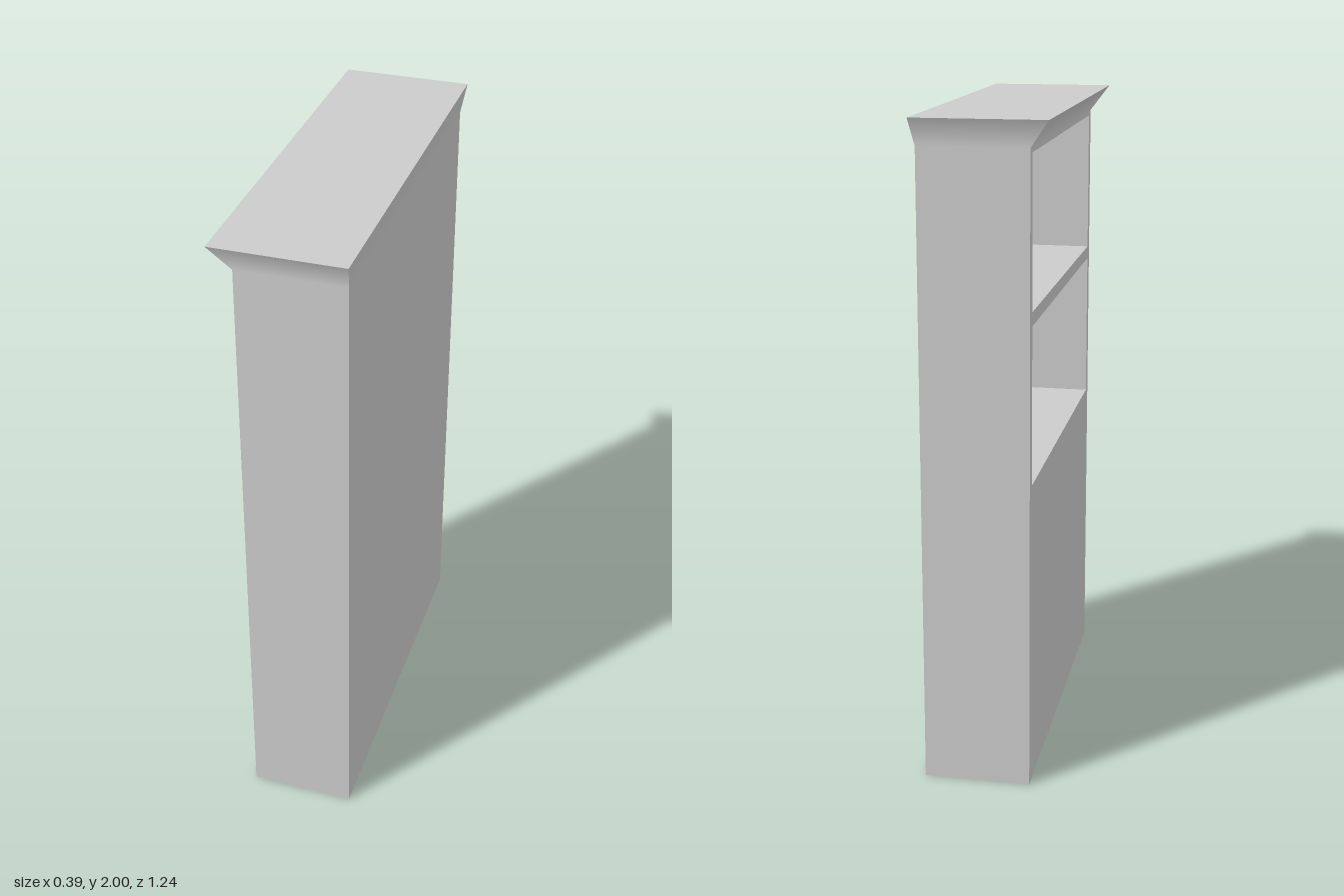
import * as THREE from 'three';

const BACK = 0.185, FRONT = -0.138, HALF = 0.58; // body extents: x, x, z
const BODY_TOP = 1.92, TOP = 2, PANEL = 0.033;

const material = new THREE.MeshStandardMaterial({ color: 0xcccccc });

function part(name, geometry) {
  const mesh = new THREE.Mesh(geometry, material);
  mesh.name = name;
  return mesh;
}

function trace(path, z0, y0, z1, y1) {
  path.moveTo(z0, y0);
  path.lineTo(z1, y0);
  path.lineTo(z1, y1);
  path.lineTo(z0, y1);
  path.closePath();
  return path;
}

// Case with two open compartments, opening towards -x
function caseGeometry() {
  const shape = trace(new THREE.Shape(), -HALF, 0, HALF, BODY_TOP);
  for (const [low, high] of [[0.945, 1.417], [1.458, 1.905]]) {
    shape.holes.push(trace(new THREE.Path(), -0.544, low, 0.544, high));
  }
  const depth = BACK - PANEL - FRONT;
  return new THREE.ExtrudeGeometry(shape, { depth, bevelEnabled: false })
    .rotateY(-Math.PI / 2)
    .translate(BACK - PANEL, 0, 0);
}

// Flared crown: sloped walls between two rectangles, shaded softly into the case
function crownGeometry() {
  const ring = (x0, x1, z, y) => [[x0, y, z], [x1, y, z], [x1, y, -z], [x0, y, -z]];
  const low = ring(FRONT, BACK, HALF, BODY_TOP);
  const high = ring(-0.196, 0.196, 0.62, TOP);
  const out = [[0, 0, 1], [1, 0, 0], [0, 0, -1], [-1, 0, 0]];
  const flare = [0.04, 0.011, 0.04, 0.058];
  const positions = [], normals = [], indices = [];

  const quad = (corners, cornerNormals) => {
    const i = positions.length / 3;
    positions.push(...corners.flat());
    normals.push(...cornerNormals.flat());
    indices.push(i, i + 1, i + 2, i, i + 2, i + 3);
  };

  for (let i = 0; i < 4; i++) {
    const j = (i + 1) % 4;
    const n = out[i];
    const tilted = new THREE.Vector3(...n).multiplyScalar(TOP - BODY_TOP)
      .setY(-flare[i]).normalize().toArray();
    quad([low[i], low[j], high[j], high[i]], [n, n, tilted, tilted]);
  }
  const up = [0, 1, 0];
  quad(high, [up, up, up, up]);

  const geometry = new THREE.BufferGeometry();
  geometry.setAttribute('position', new THREE.Float32BufferAttribute(positions, 3));
  geometry.setAttribute('normal', new THREE.Float32BufferAttribute(normals, 3));
  geometry.setIndex(indices);
  return geometry;
}

export function createModel() {
  const group = new THREE.Group();
  group.name = 'bookcase';
  group.add(part('case', caseGeometry()));
  group.add(part('backPanel', new THREE.BoxGeometry(PANEL, BODY_TOP, HALF * 2)
    .translate(BACK - PANEL / 2, BODY_TOP / 2, 0)));
  group.add(part('crown', crownGeometry()));
  return group;
}
